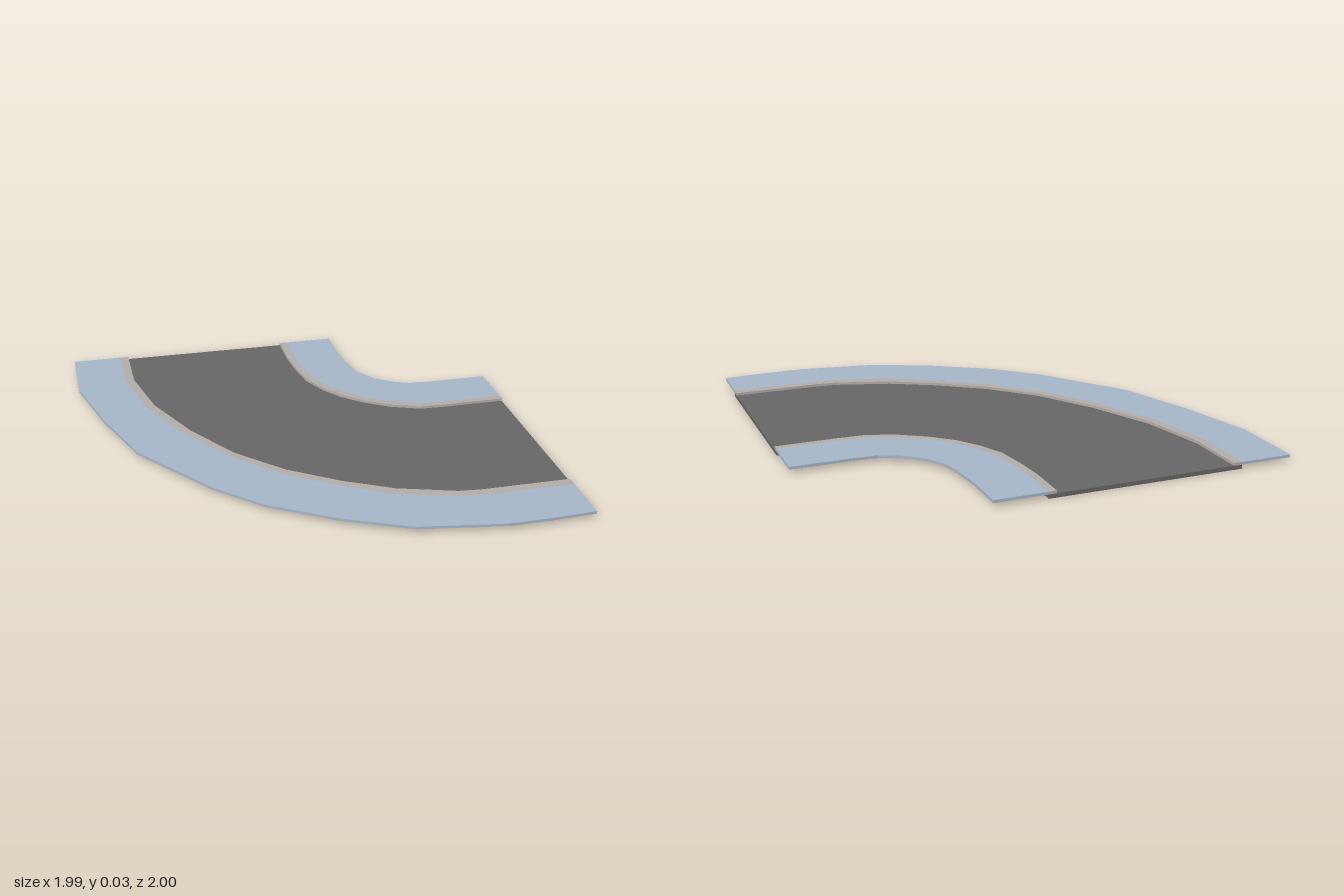
import * as THREE from 'three';

// Plan curves as [x, z], each running from the back end to the side end of the bend
const outerRim = [[-1, -1], [-1, -0.65], [-0.91, -0.29], [-0.79, 0.06], [-0.51, 0.45], [-0.33, 0.63],
  [-0.05, 0.81], [0.23, 0.94], [0.6, 1], [0.78, 1], [0.99, 0.99]];
const outerKerbBack = [[-0.765, -1], [-0.765, -0.71], [-0.7, -0.39], [-0.57, -0.09], [-0.4, 0.18],
  [-0.21, 0.39], [0.01, 0.545], [0.22, 0.67], [0.48, 0.75], [0.59, 0.76], [0.99, 0.76]];
const outerKerbFace = [[-0.725, -1], [-0.725, -0.71], [-0.66, -0.4], [-0.53, -0.1], [-0.37, 0.16],
  [-0.18, 0.36], [0.03, 0.51], [0.24, 0.625], [0.49, 0.705], [0.59, 0.715], [0.99, 0.715]];
const innerKerbFace = [[0.08, -1], [0.08, -0.82], [0.09, -0.69], [0.115, -0.53], [0.17, -0.41],
  [0.24, -0.31], [0.34, -0.22], [0.45, -0.15], [0.58, -0.1], [0.7, -0.095], [0.99, -0.095]];
const innerKerbBack = [[0.115, -1], [0.115, -0.82], [0.125, -0.7], [0.15, -0.55], [0.2, -0.43],
  [0.27, -0.335], [0.36, -0.25], [0.465, -0.185], [0.59, -0.135], [0.7, -0.13], [0.99, -0.13]];
const innerRim = [[0.35, -1], [0.35, -0.8], [0.365, -0.66], [0.385, -0.56], [0.45, -0.46],
  [0.53, -0.4], [0.61, -0.365], [0.71, -0.36], [0.99, -0.36]];

// Flat slab between two plan curves, from height y0 to y1
function slab(name, a, b, y0, y1, color) {
  const outline = [...a, ...[...b].reverse()].map(([x, z]) => new THREE.Vector2(x, -z));
  const geometry = new THREE.ExtrudeGeometry(new THREE.Shape(outline), { depth: y1 - y0, bevelEnabled: false });
  geometry.rotateX(-Math.PI / 2).translate(0, y0, 0);
  const mesh = new THREE.Mesh(geometry, new THREE.MeshStandardMaterial({ color }));
  mesh.name = name;
  return mesh;
}

export function createModel() {
  const group = new THREE.Group();
  group.name = 'roadBend';
  const road = 0x666666, kerb = 0xb3aca8, paving = 0xa6b6c8;
  group.add(
    // road bed runs on beneath both kerbs
    slab('roadBed', outerKerbBack, innerKerbBack, 0, 0.018, road),
    // kerbs, flush with the pavements
    slab('outerKerb', outerKerbBack, outerKerbFace, 0.018, 0.03, kerb),
    slab('innerKerb', innerKerbFace, innerKerbBack, 0.018, 0.03, kerb),
    // pavements
    slab('outerPavement', outerRim, outerKerbBack, 0.018, 0.03, paving),
    slab('innerPavement', innerKerbBack, innerRim, 0.018, 0.03, paving),
  );
  return group;
}
